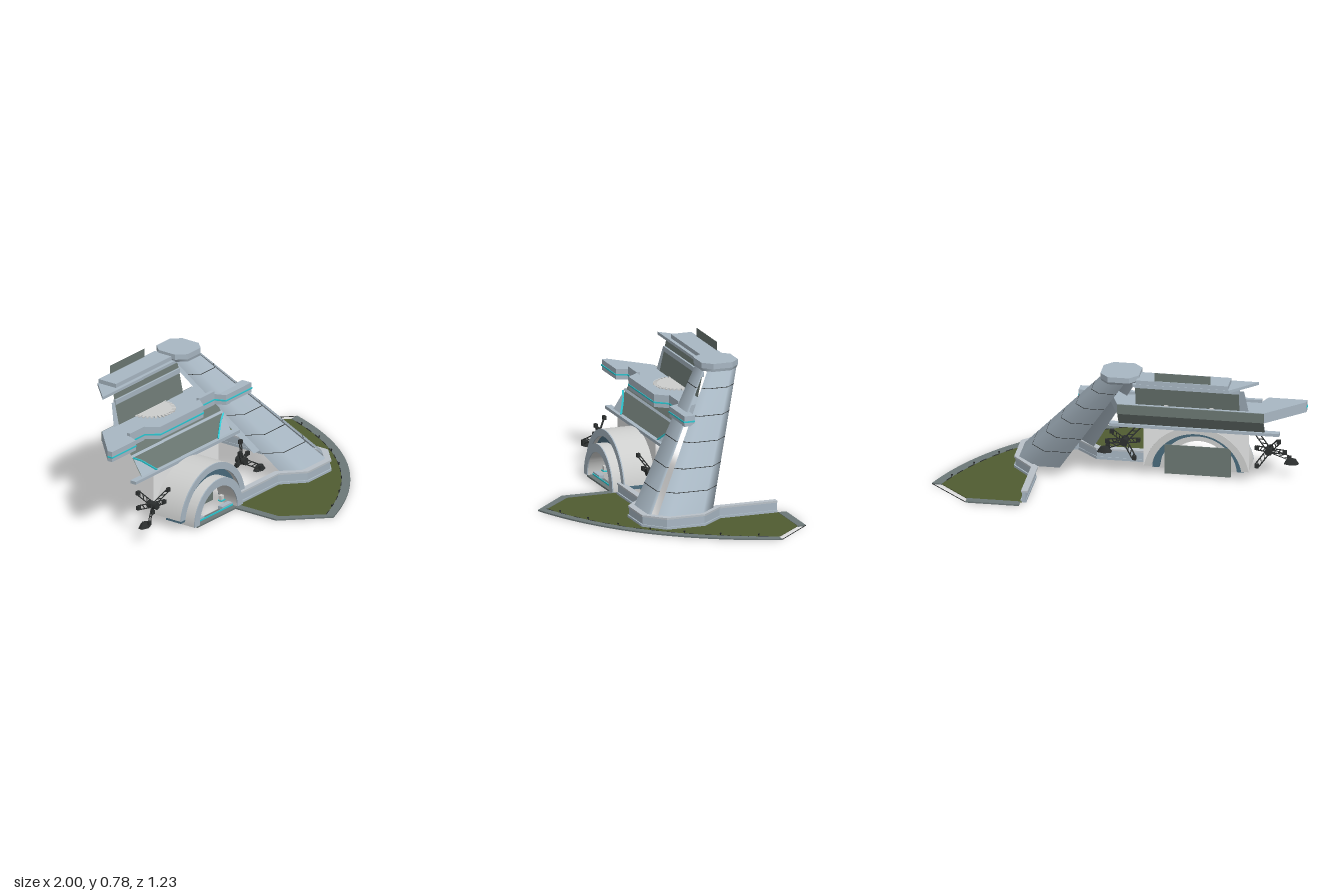
import * as THREE from 'three';
import { toCreasedNormals } from 'three/addons/utils/BufferGeometryUtils.js';

const mat = (name, color, side = THREE.FrontSide) => {
  const m = new THREE.MeshStandardMaterial({ color, side });
  m.name = name;
  return m;
};

export function createModel() {
  const M = {
    metal: mat('paleBlueMetal', 0xa8b7c3, THREE.DoubleSide),
    cap: mat('lightCapGrey', 0xb9c1c8),
    wall: mat('greyGreenWall', 0x6b7772, THREE.DoubleSide),
    stone: mat('offWhiteStone', 0xcdcecd),
    white: mat('white', 0xe8e9e9, THREE.DoubleSide),
    blue: mat('steelBlue', 0x4a6b7d),
    teal: mat('teal', 0x2cc8d2),
    dark: mat('charcoal', 0x2c2f2f),
    grass: mat('grass', 0x505c31),
    kerb: mat('kerbGrey', 0x6c7878),
  };
  const root = new THREE.Group();
  root.name = 'tower_complex';
  const CX = -0.39; // centre line of the facade

  const add = (name, geo, m, parent = root) => {
    const mesh = new THREE.Mesh(geo, m);
    mesh.name = name;
    parent.add(mesh);
    return mesh;
  };
  const box = (name, x0, x1, y0, y1, z0, z1, m) => {
    const g = new THREE.BoxGeometry(x1 - x0, y1 - y0, z1 - z0);
    g.translate((x0 + x1) / 2, (y0 + y1) / 2, (z0 + z1) / 2);
    return add(name, g, m);
  };
  // Horizontal slab from an [x, z] outline
  const slab = (name, pts, y0, y1, m) => {
    const s = new THREE.Shape(pts.map(([x, z]) => new THREE.Vector2(x, -z)));
    const g = new THREE.ExtrudeGeometry(s, { depth: y1 - y0, bevelEnabled: false });
    g.rotateX(-Math.PI / 2).translate(0, y0, 0);
    return add(name, g, m);
  };
  // Path moved sideways with mitred corners
  const offset = (path, d) => path.map(([x, z], i) => {
    const normal = (a, b) => new THREE.Vector2(a[1] - b[1], b[0] - a[0]).normalize();
    const last = path.length - 1;
    const n0 = normal(path[Math.max(i - 1, 0)], path[Math.max(i, 1)]);
    const n1 = normal(path[Math.min(i, last - 1)], path[Math.min(i + 1, last)]);
    const k = d / (1 + n0.dot(n1));
    return [x + (n0.x + n1.x) * k, z + (n0.y + n1.y) * k];
  });
  // Low wall following a path
  const strip = (name, path, d0, d1, y0, y1, m) =>
    slab(name, [...offset(path, d1), ...offset(path, d0).reverse()], y0, y1, m);
  // Flat panel through four corners
  const quad = (name, corners, m, flip = false) => {
    const g = new THREE.BufferGeometry();
    g.setAttribute('position', new THREE.Float32BufferAttribute(corners.flat(), 3));
    g.setIndex(flip ? [0, 2, 1, 0, 3, 2] : [0, 1, 2, 0, 2, 3]);
    g.computeVertexNormals();
    return add(name, g, m);
  };
  // Slanted facade wall between two heights
  const wall = (name, x0, x1, yb, zb, yt, zt, m) =>
    quad(name, [[x0, yb, zb], [x1, yb, zb], [x1, yt, zt], [x0, yt, zt]], m);
  const beam = (name, a, b, w, m, parent) => {
    const A = new THREE.Vector3(...a), B = new THREE.Vector3(...b);
    const mesh = add(name, new THREE.BoxGeometry(w, w, A.distanceTo(B)), m, parent);
    mesh.position.copy(A).lerp(B, 0.5);
    mesh.quaternion.setFromUnitVectors(new THREE.Vector3(0, 0, 1), B.clone().sub(A).normalize());
    return mesh;
  };

  // ---- Leaning tower: two shells, open towards the facade, with a slit at the front corner ----
  const RIGHT_SHELL = [[-0.3, -1], [0.55, -1], [1, -0.52], [1, 0.52], [0.76, 0.776]];
  const LEFT_SHELL = [[0.62, 0.925], [0.55, 1], [-0.55, 1], [-1, 0.52]];
  const OCT = [[1, -0.52], [1, 0.52], [0.55, 1], [-0.55, 1], [-1, 0.52], [-1, -0.52], [-0.55, -1], [0.55, -1]];
  const section = (outline, y, grow = 0) => {
    const t = (y - 0.07) / 0.635, L = THREE.MathUtils.lerp;
    const h = L(0.187, 0.098, t) + grow;
    return outline.map(([x, z]) => [L(0.385, -0.035, t) + x * h, y, L(-0.012, -0.415, t) + z * h]);
  };
  const loft = (name, rings, closed, m) => {
    const n = rings[0].length, idx = [];
    for (let r = 0; r < rings.length - 1; r++)
      for (let i = 0; i < (closed ? n : n - 1); i++) {
        const a = r * n + i, b = r * n + (i + 1) % n;
        idx.push(a, a + n, b, b, a + n, b + n);
      }
    const g = new THREE.BufferGeometry();
    g.setAttribute('position', new THREE.Float32BufferAttribute(rings.flat(2), 3));
    g.setIndex(idx);
    g.computeVertexNormals();
    return add(name, g, m);
  };
  for (const shell of [RIGHT_SHELL, LEFT_SHELL]) {
    loft('towerShell', [0.055, 0.28, 0.5, 0.705].map((y) => section(shell, y)), false, M.metal);
    for (const y of [0.17, 0.275, 0.39, 0.505, 0.625])
      loft('towerSeam', [section(shell, y, 0.001), section(shell, y + 0.003, 0.001)], false, M.dark);
  }
  // Cap
  const capRing = OCT.map(([x, z]) => [-0.035 + x * 0.105, -0.415 + z * 0.105]);
  loft('towerCapFlare', [section(OCT, 0.7), capRing.map(([x, z]) => [x, 0.715, z])], true, M.metal);
  slab('towerCap', capRing, 0.715, 0.745, M.metal);

  // ---- Parapet wrapping the tower foot ----
  const path = [[-0.165, 0.09], [0.175, 0.09], [0.292, 0.2], [0.487, 0.2], [0.585, 0.105],
    [0.585, -0.105], [0.472, -0.235], [0.472, -0.57]];
  strip('parapetFoot', path, -0.015, 0.016, 0.003, 0.018, M.metal);
  strip('parapetWall', path, -0.012, 0.008, 0.018, 0.06, M.metal);
  strip('parapetCap', path, -0.022, 0.014, 0.06, 0.07, M.cap);

  // ---- Lawn with kerb ----
  const arc = (a, c, b, n = 28) => new THREE.QuadraticBezierCurve(
    new THREE.Vector2(...a), new THREE.Vector2(...c), new THREE.Vector2(...b)).getPoints(n).map((p) => [p.x, p.y]);
  const outer = arc([-0.015, 0.615], [0.74, 0.355], [0.998, -0.4]);
  const inner = arc([-0.015, 0.565], [0.695, 0.315], [0.945, -0.4]);
  slab('lawn', [[-0.19, 0.1], [-0.19, 0.38], ...inner, [0.775, -0.575], [0.48, -0.575],
    [0.48, -0.22], [0.58, -0.1], [0.58, 0.1], [0.48, 0.19], [0.29, 0.19], [0.18, 0.1]], 0.002, 0.006, M.grass);
  slab('curvedKerb', [[-0.235, 0.12], [-0.235, 0.395], ...outer, ...inner.slice().reverse(),
    [-0.19, 0.38], [-0.19, 0.12]], 0, 0.008, M.kerb);
  box('rearKerb', 0.49, 0.78, 0, 0.008, -0.618, -0.572, M.kerb);
  beam('openKerbLine', [0.78, 0.004, -0.618], [0.998, 0.004, -0.4], 0.003, M.dark);
  for (let i = 0; i < 28; i += 2) {
    const [[x0, z0], [x1, z1]] = [inner[i], inner[i + 1]];
    beam('lawnEdgeDash', [x0, 0.007, z0], [x1, 0.007, z1], 0.004, M.dark);
    if (i % 4 === 2) {
      const g = new THREE.ConeGeometry(0.006, 0.016, 4);
      add('lawnLight', g.rotateX(Math.PI).translate(x0, 0.014, z0), M.dark);
    }
  }

  // ---- Vaulted entrance ----
  const arch = (name, r1, r0, z0, z1, m, y = 0.012) => {
    const cy = 0.012, a1 = Math.asin((y - cy) / r1), a0 = Math.asin((y - cy) / r0);
    const s = new THREE.Shape();
    s.absarc(CX, cy, r1, a1, Math.PI - a1, false);
    s.absarc(CX, cy, r0, Math.PI - a0, a0, true);
    const g = new THREE.ExtrudeGeometry(s, { depth: z1 - z0, bevelEnabled: false, curveSegments: 32 });
    g.translate(0, 0, z0);
    return add(name, toCreasedNormals(g, 0.5), m);
  };
  arch('vault', 0.288, 0.25, -0.1, 0.08, M.stone, 0.06);
  arch('vaultFrontRim', 0.288, 0.25, 0.08, 0.087, M.metal, 0.06);
  arch('blueArch', 0.25, 0.212, -0.04, 0.06, M.blue, 0.03);
  arch('entranceArch', 0.213, 0.168, 0.0, 0.12, M.stone);
  arch('entranceArchRim', 0.213, 0.168, 0.12, 0.126, M.metal);
  for (const s of [-1, 1]) {
    const X = (d) => CX + s * d;
    const span = (a, b) => [Math.min(X(a), X(b)), Math.max(X(a), X(b))];
    quad('vaultBackPanel', [[X(0.287), 0.295, -0.095], [X(0), 0.295, -0.095],
      [X(0.2), 0.215, -0.095], [X(0.287), 0.06, -0.095]], M.white, s < 0);
    box('entranceKerb', ...span(0.08, 0.18), 0.002, 0.028, 0.06, 0.09, M.metal);
    box('entranceLamp', ...span(0.135, 0.16), 0.035, 0.06, 0.02, 0.04, M.stone);
    box('entranceLampGlow', ...span(0.13, 0.165), 0.03, 0.036, 0.02, 0.045, M.teal);
    box('doorPost', ...span(0.062, 0.07), 0.02, 0.1, -0.048, -0.044, M.dark);
    box('doorSide', ...span(0.047, 0.053), 0.02, 0.085, -0.048, -0.045, M.dark);
  }
  box('entranceWall', CX - 0.18, CX + 0.18, 0.003, 0.17, -0.056, -0.05, M.wall);
  box('doorLintel', CX - 0.07, CX + 0.07, 0.096, 0.102, -0.048, -0.044, M.dark);
  box('tealThreshold', CX - 0.18, CX + 0.18, 0.012, 0.02, 0.09, 0.095, M.teal);
  box('entranceStep', CX - 0.18, CX + 0.18, 0, 0.01, 0.06, 0.12, M.kerb);

  // ---- Facade: canopy, walls, balcony, roof ----
  box('canopy', -0.845, 0.08, 0.288, 0.305, -0.125, -0.088, M.metal);
  wall('lowerWall', -0.765, 0.03, 0.3, -0.11, 0.47, -0.22, M.wall);
  wall('lowerWallBand', -0.775, 0.03, 0.4, -0.168, 0.412, -0.176, M.metal);
  for (const s of [-1, 1]) {
    const X = (d) => -0.368 + s * d;
    quad('lowerCornerPlate', [[X(0.398), 0.3, -0.104], [X(0.275), 0.305, -0.107],
      [X(0.35), 0.372, -0.15], [X(0.398), 0.4, -0.168]], M.metal, s > 0);
    beam('tealTrim', [X(0.4), 0.4, -0.163], [X(0.35), 0.372, -0.145], 0.008, M.teal);
    beam('tealTrim', [X(0.35), 0.372, -0.145], [X(0.272), 0.306, -0.102], 0.008, M.teal);
  }
  const deckFront = [[-1, -0.16], [-1, -0.13], [-0.79, -0.13], [-0.765, -0.19], [-0.635, -0.19], [-0.58, -0.123],
    [-0.2, -0.123], [-0.145, -0.19], [-0.015, -0.19], [0.01, -0.13], [0.235, -0.13], [0.235, -0.19]];
  slab('balcony', [...deckFront, [0.06, -0.19], [0.0, -0.35], [-0.8, -0.35]], 0.46, 0.518, M.metal);
  strip('balconyTealLine', deckFront, -0.002, 0.004, 0.482, 0.49, M.teal);
  slab('balconyCentre', [[-0.635, -0.19], [-0.58, -0.123], [-0.2, -0.123], [-0.145, -0.19]], 0.518, 0.53, M.metal);
  for (const x of [-0.7, -0.08])
    box('balconyBay', x - 0.065, x + 0.065, 0.455, 0.534, -0.21, -0.189, M.metal);
  box('balconyRearPlate', -0.8, 0.0, 0.462, 0.516, -0.355, -0.35, M.wall);
  // Toothed half disc on the balcony
  const disc = new THREE.CylinderGeometry(0.115, 0.115, 0.006, 32, 1, false, -Math.PI / 2, Math.PI);
  disc.translate(CX, 0.521, -0.335);
  add('halfDisc', disc, M.stone);
  for (let i = 0; i <= 18; i++) {
    const g = new THREE.BoxGeometry(0.012, 0.006, 0.024);
    g.translate(0, 0, 0.124).rotateY(-Math.PI / 2 + (i * Math.PI) / 18).translate(CX, 0.521, -0.335);
    add('discTooth', g, M.stone);
  }
  wall('upperWall', -0.67, -0.1, 0.515, -0.335, 0.695, -0.375, M.wall);
  box('upperWallLedge', -0.67, -0.1, 0.628, 0.655, -0.372, -0.355, M.metal);
  quad('upperSidePlate', [[-0.715, 0.515, -0.335], [-0.665, 0.515, -0.335],
    [-0.665, 0.645, -0.365], [-0.695, 0.645, -0.365]], M.metal);
  slab('roofPlate', [[-0.775, -0.365], [-0.635, -0.505], [-0.11, -0.505], [-0.06, -0.365]], 0.69, 0.706, M.metal);
  slab('upperRoofPlate', [[-0.63, -0.385], [-0.63, -0.503], [-0.13, -0.503], [-0.13, -0.385]], 0.706, 0.729, M.metal);
  wall('roofScreen', -0.535, -0.23, 0.7, -0.497, 0.777, -0.497, M.wall);

  // ---- Lattice brackets either side of the vault ----
  const bracket = (x, side) => {
    const g = new THREE.Group();
    g.name = 'latticeBracket';
    g.position.set(x, 0.165, -0.025);
    g.scale.x = side;
    root.add(g);
    const hub = new THREE.CylinderGeometry(0.022, 0.022, 0.06, 8);
    add('hub', hub.rotateX(Math.PI / 2), M.dark, g);
    const arms = [[0.1, -0.06, 0.05], [-0.06, -0.075, -0.05], [0.06, 0.075, -0.055], [-0.075, 0.075, 0.045],
      [0.09, 0.005, -0.03], [-0.07, 0.0, 0.02]];
    for (const [ex, ey, ez] of arms) {
      const l = Math.hypot(ex, ey), px = (-ey / l) * 0.012, py = (ex / l) * 0.012;
      for (const k of [-1, 1]) beam('armRail', [k * px, k * py, 0], [ex + k * px, ey + k * py, ez], 0.005, M.dark, g);
      for (let i = 1; i <= 4; i++) {
        const t = i / 4, u = (i - 0.8) / 4;
        beam('armRung', [ex * t + px, ey * t + py, ez * t], [ex * u - px, ey * u - py, ez * u], 0.004, M.dark, g);
      }
      add('armEnd', new THREE.BoxGeometry(0.022, 0.022, 0.016), M.dark, g).position.set(ex, ey, ez);
    }
    const pad = new THREE.CylinderGeometry(0.025, 0.045, 0.028, 6);
    add('footPad', pad.scale(1, 1, 0.6), M.dark, g).position.set(0.115, -0.07, 0.03);
  };
  bracket(-0.775, -1);
  bracket(0.012, 1);

  return root;
}
